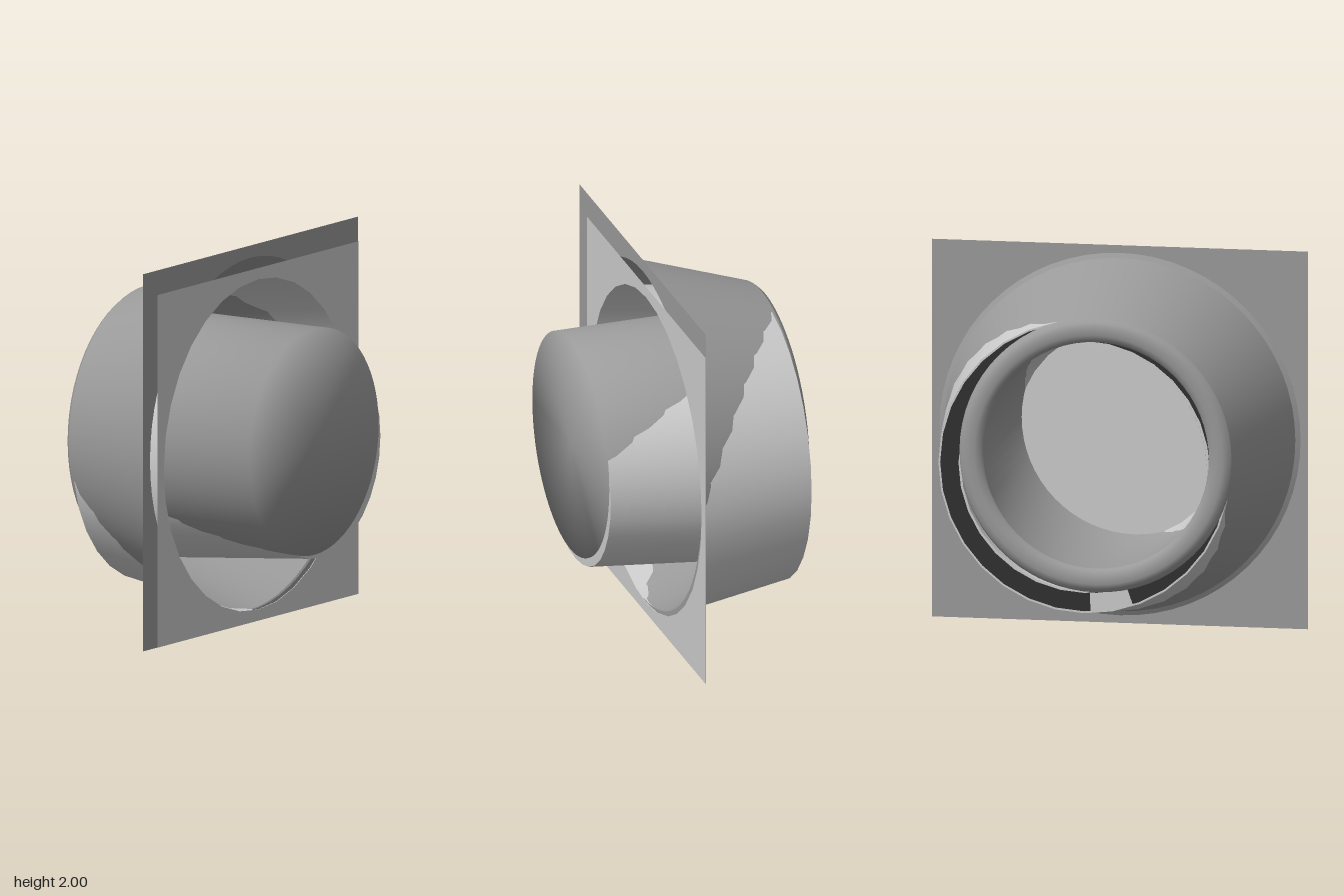
import * as THREE from 'three';
import { toCreasedNormals } from 'three/addons/utils/BufferGeometryUtils.js';

const paint = color => new THREE.MeshStandardMaterial({ color, side: THREE.DoubleSide });
const light = paint(0xcccccc);
const grey = paint(0x9a9a9a);
const black = paint(0x303030);

function place(name, geometry, material, x, y, z) {
  const mesh = new THREE.Mesh(geometry, material);
  mesh.name = name;
  mesh.position.set(x, y, z);
  return mesh;
}

// Surface of revolution about the x axis; profile entries are [x, radius]
function revolve(profile, segments, crease) {
  const points = profile.map(([x, r]) => new THREE.Vector2(r, x));
  const geometry = new THREE.LatheGeometry(points, segments).rotateZ(-Math.PI / 2);
  return crease ? toCreasedNormals(geometry, crease) : geometry;
}

// Thin square sheet facing +x with a round hole
function plate(size, hole, segments) {
  const h = size / 2;
  const shape = new THREE.Shape([[-h, -h], [h, -h], [h, h], [-h, h]].map(p => new THREE.Vector2(...p)));
  shape.holes.push(new THREE.Path().absarc(0, 0, hole, 0, Math.PI * 2, true));
  return new THREE.ShapeGeometry(shape, segments).rotateY(Math.PI / 2);
}

// Flat ring, or part of one, facing +x
function ring(inner, outer, start = 0, length = Math.PI * 2) {
  return new THREE.RingGeometry(inner, outer, 32, 1, start, length).rotateY(Math.PI / 2);
}

export function createModel() {
  const group = new THREE.Group();
  group.name = 'recessedHousing';

  // Main housing: closed cup shaded softly over its end, rolled rim, flared cone, flange
  const main = new THREE.Group();
  main.name = 'mainHousing';
  const cup = [[0.54, 0], [0.54, 0.6], [-0.51, 0.6]];
  const rim = [
    [-0.51, 0.6], [-0.53, 0.612], [-0.545, 0.64], [-0.545, 0.68], [-0.535, 0.705], [-0.515, 0.722],
  ];
  const cone = [[-0.515, 0.722], [0.125, 0.935], [0.139, 0.96]];
  main.add(
    place('cup', revolve(cup, 64), grey, 0, 1, 0),
    place('backRim', revolve(rim, 64), grey, 0, 1, 0),
    place('outerCone', revolve(cone, 64, 0.6), grey, 0, 1, 0),
    place('flange', plate(2, 0.935, 32), grey, 0.14, 1, 0),
  );

  // Smaller, offset liner: tapered cup and cone joined by a dark ring at the back
  const liner = new THREE.Group();
  liner.name = 'liner';
  const y = 0.935, z = -0.065;
  const linerCup = [[0.534, 0], [0.534, 0.56], [-0.5, 0.655]];
  const linerCone = [[-0.5, 0.775], [0.143, 0.876]];
  liner.add(
    place('linerCup', revolve(linerCup, 32, 0.6), light, 0, y, z),
    place('linerCone', revolve(linerCone, 32), light, 0, y, z),
    place('linerFlange', plate(1.87, 0.876, 16), light, 0.143, y, z),
    place('darkRing', ring(0.668, 0.765), black, -0.498, y, z),
    place('innerEdge', ring(0.655, 0.668), light, -0.498, y, z),
    place('outerEdge', ring(0.765, 0.775), light, -0.498, y, z),
    place('ringTab', ring(0.668, 0.765, Math.PI * 1.39, 0.3), light, -0.501, y, z),
  );

  group.add(main, liner);
  return group;
}
